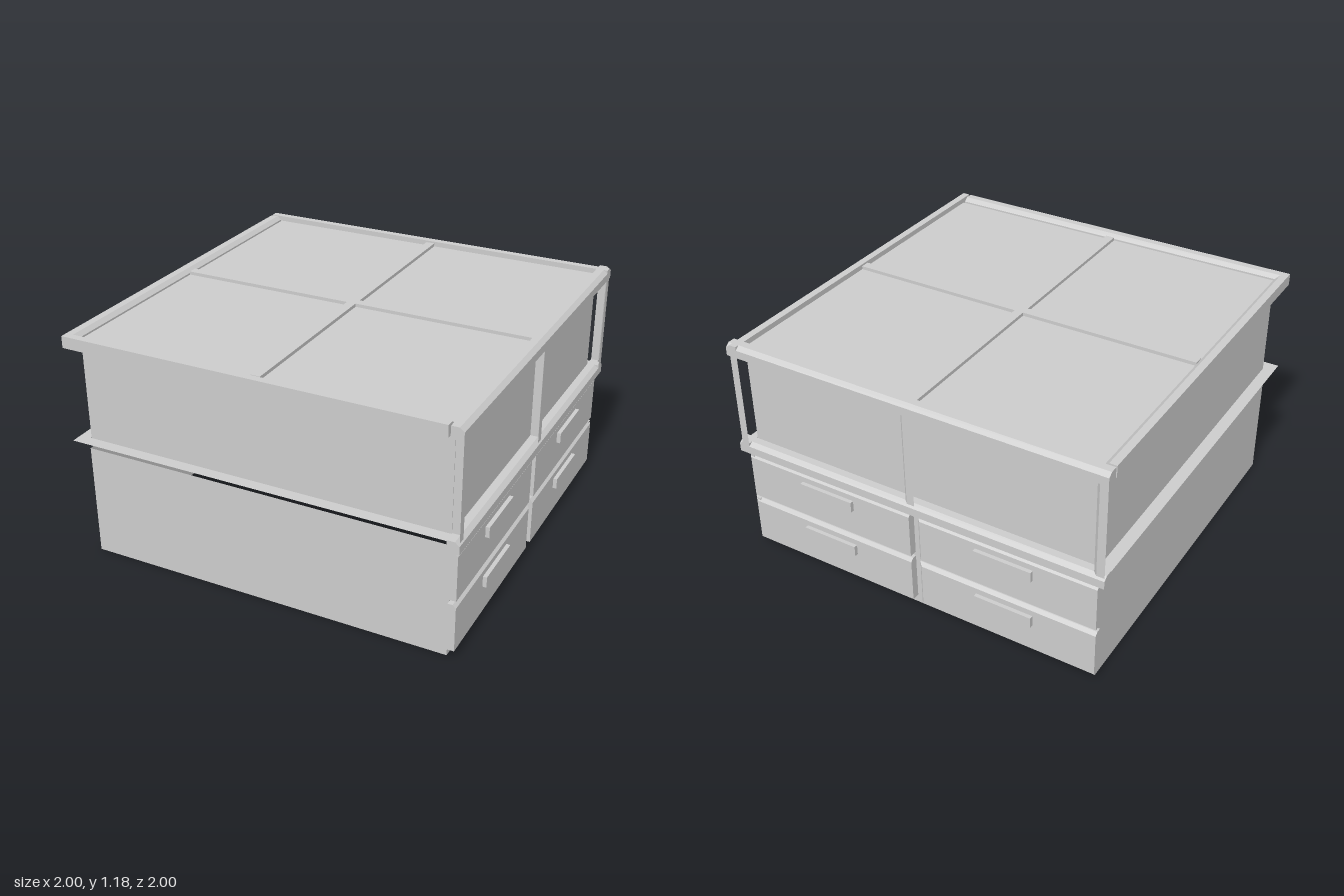
import * as THREE from 'three';
import { ConvexGeometry } from 'three/addons/geometries/ConvexGeometry.js';

const grey = new THREE.MeshStandardMaterial({ color: 0xcccccc, side: THREE.DoubleSide });
grey.name = 'plain grey';

function add(group, name, geometry) {
  const mesh = new THREE.Mesh(geometry, grey);
  mesh.name = name;
  group.add(mesh);
  return mesh;
}

// Open sheet: a path of [x, y, z] points swept along one axis vector
function sweep(path, [dx, dy, dz]) {
  const p = [];
  for (let i = 0; i < path.length - 1; i++) {
    const a = path[i], b = path[i + 1];
    const c = [b[0] + dx, b[1] + dy, b[2] + dz], d = [a[0] + dx, a[1] + dy, a[2] + dz];
    p.push(...a, ...b, ...c, ...a, ...c, ...d);
  }
  const g = new THREE.BufferGeometry();
  g.setAttribute('position', new THREE.Float32BufferAttribute(p, 3));
  g.computeVertexNormals();
  return g;
}

// Block facing +x, bevelled along its top and its -z edge
function bevelBlock(x0, x1, y0, y1, z0, z1, b) {
  const pts = [];
  for (const [x, top, back] of [[x0, y1, z0], [x1 - b, y1, z0], [x1, y1 - b, z0 + b]])
    for (const y of [y0, top]) for (const z of [back, z1]) pts.push(new THREE.Vector3(x, y, z));
  return new ConvexGeometry(pts);
}

// Rail along z with a bevel on its upper +x edge
function rail(x, y, z0, z1) {
  const profile = [[0, 0], [0.06, 0], [0.06, 0.042], [0.038, 0.06], [0, 0.06]];
  return new ConvexGeometry(profile.flatMap(([px, py]) =>
    [z0, z1].map(z => new THREE.Vector3(x + px, y + py, z))));
}

function block(x0, x1, y0, y1, z0, z1) {
  return new THREE.BoxGeometry(x1 - x0, y1 - y0, z1 - z0)
    .translate((x0 + x1) / 2, (y0 + y1) / 2, (z0 + z1) / 2);
}

// Drawer side, facing +x, with the plain rails of the opposite side
function makeSide() {
  const side = new THREE.Group();
  side.name = 'drawerSide';

  add(side, 'topRail', rail(0.94, 1.122, -1, 1));
  add(side, 'middleRail', rail(0.94, 0.58, -1, 1));
  add(side, 'oppositeTopRail', rail(-1, 1.122, -0.93, 1));
  add(side, 'oppositeLedge', sweep([[-1, 0.635, -0.94], [-0.94, 0.635, -0.94]], [0, 0, 1.94]));

  // Hollow posts: outer plate, bevel and one return
  for (const z of [-1, -0.03, 0.94])
    add(side, 'post', sweep(
      [[1, 0.64, z + 0.06], [1, 0.64, z + 0.02], [0.98, 0.64, z], [0.94, 0.64, z]], [0, 0.482, 0]));

  // Two rows of two drawers with bar handles
  for (const y of [0.045, 0.312])
    for (const [z0, z1, h] of [[-0.975, -0.02, -0.49], [0.022, 0.96, 0.49]]) {
      add(side, 'drawer', bevelBlock(0.94, 0.98, y, y + 0.245, z0, z1, 0.016));
      add(side, 'handle', block(0.98, 1, y + 0.145, y + 0.2, h - 0.15, h + 0.15));
    }
  return side;
}

export function createModel() {
  const model = new THREE.Group();
  model.name = 'cabinet';

  // Lower carcass, open underneath
  add(model, 'carcass', sweep(
    [[-0.945, 0, 0.945], [0.94, 0, 0.945], [0.94, 0, -0.94], [-0.945, 0, -0.94], [-0.945, 0, 0.945]],
    [0, 0.58, 0]));

  // Upper case walls and floor
  const w = 0.938;
  add(model, 'upperWalls', sweep(
    [[-w, 0.6, w], [w, 0.6, w], [w, 0.6, -w], [-w, 0.6, -w], [-w, 0.6, w]], [0, 0.555, 0]));
  add(model, 'upperFloor', sweep([[-w, 0.635, w], [w, 0.635, w]], [0, 0, -2 * w]));

  // Lid panes and the crossing bars
  add(model, 'lidPanes', sweep([[-0.94, 1.155, 0.94], [0.94, 1.155, 0.94]], [0, 0, -1.88]));
  add(model, 'lidBarLong', block(-0.025, 0.022, 1.15, 1.172, -0.94, 0.94));
  add(model, 'lidBarCross', block(-0.94, 0.94, 1.15, 1.172, -0.025, 0.022));

  // The back is the same side, mirrored across the diagonal
  const back = makeSide();
  back.rotation.y = Math.PI / 2;
  back.scale.z = -1;
  back.name = 'backDrawerSide';
  model.add(makeSide(), back);
  return model;
}
